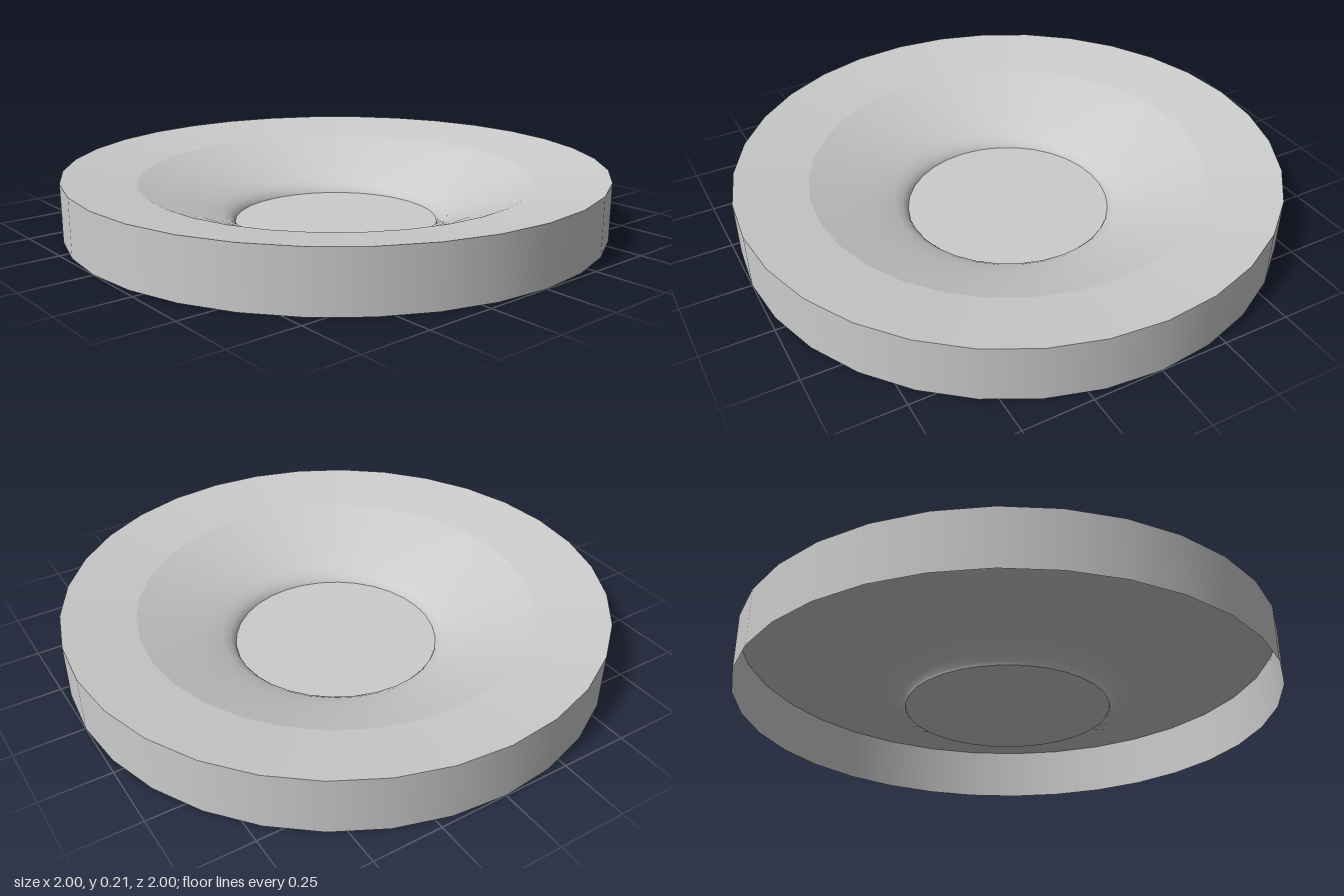
import * as THREE from 'three';

const SIDES = 32;

export function createModel() {
  const group = new THREE.Group();
  const material = new THREE.MeshStandardMaterial({ color: 0xcccccc, side: THREE.DoubleSide });

  // Turn a [radius, height] profile into a thin smooth shell
  const shell = (name, profile) => {
    const points = profile.map(([r, y]) => new THREE.Vector2(r, y));
    const mesh = new THREE.Mesh(new THREE.LatheGeometry(points, SIDES), material);
    mesh.name = name;
    group.add(mesh);
  };

  // Upright band, open underneath
  shell('outerWall', [[1, 0], [1, 0.21]]);

  // Gently dished rim
  shell('rim', [[1, 0.21], [0.735, 0.17]]);

  // Flared bowl, steepening toward the floor
  shell('bowl', [
    [0.735, 0.17], [0.6, 0.12], [0.5, 0.08], [0.43, 0.05],
    [0.4, 0.03], [0.385, 0.014], [0.38, 0.002],
  ]);

  // Flat round floor
  const floor = new THREE.Mesh(new THREE.CircleGeometry(0.38, SIDES), material);
  floor.name = 'floor';
  floor.rotation.x = -Math.PI / 2;
  floor.position.y = 0.002;
  group.add(floor);

  return group;
}
